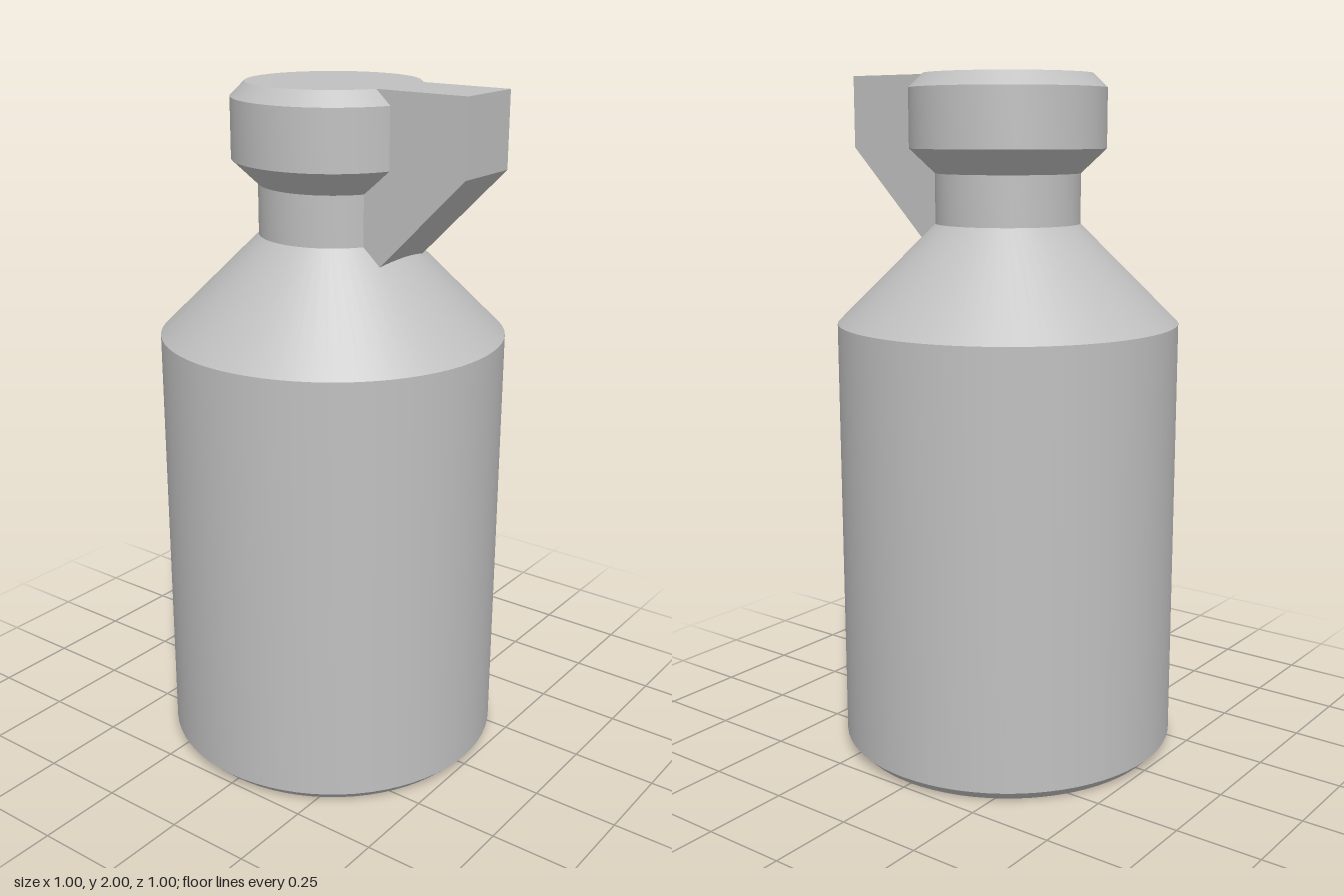
import * as THREE from 'three';
import { toCreasedNormals } from 'three/addons/utils/BufferGeometryUtils.js';

export function createModel() {
  const model = new THREE.Group();
  model.name = 'bottle';
  const grey = new THREE.MeshStandardMaterial({ color: 0xc0c0c0 });
  grey.name = 'light grey';

  const add = (name, geometry) => {
    const mesh = new THREE.Mesh(geometry, grey);
    mesh.name = name;
    model.add(mesh);
  };
  // Round part: smooth around the axis, sharp at profile corners
  const turned = (points) => toCreasedNormals(
    new THREE.LatheGeometry(points.map(([r, y]) => new THREE.Vector2(r, y)), 72), Math.PI / 9);

  // Body with chamfered foot, conical shoulder and neck
  add('body', turned([[0, 0], [0.47, 0], [0.5, 0.03], [0.5, 1.29], [0.211, 1.576], [0.211, 1.72]]));

  // Collar with chamfered rims and flat top
  add('cap', turned([[0.211, 1.72], [0.285, 1.79], [0.285, 1.96], [0.244, 2], [0, 2]]));

  // Spout: side outline (z, y) extruded across x, its root buried in neck and shoulder
  const width = 0.21;
  const outline = new THREE.Shape([[0.1, 2], [0.1, 1.39], [0.5, 1.79], [0.5, 2]]
    .map(([z, y]) => new THREE.Vector2(z, y)));
  const spout = new THREE.ExtrudeGeometry(outline, { depth: width, bevelEnabled: false });
  spout.rotateY(-Math.PI / 2).translate(width / 2, 0, 0);
  add('spout', spout);

  return model;
}
